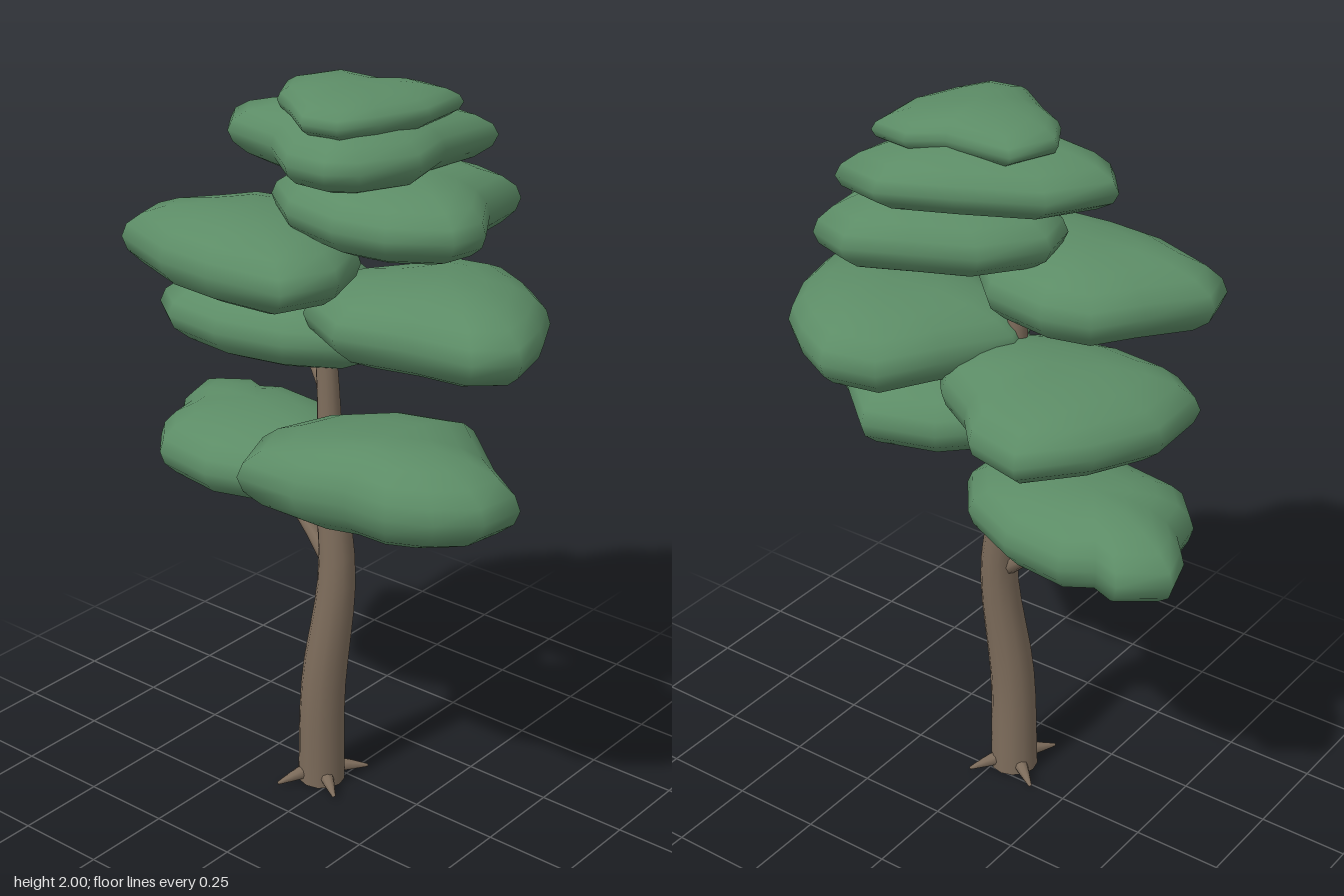
import * as THREE from 'three';

const bark = new THREE.MeshStandardMaterial({ name: 'bark brown', color: 0x7d6c5b });
const leaf = new THREE.MeshStandardMaterial({ name: 'pine green', color: 0x5c8c66 });

// Tapered limb along a smooth path; radii are spread evenly over its length
function limb(name, points, radii, segments = 8, sides = 10) {
  const curve = new THREE.CatmullRomCurve3(points.map(p => new THREE.Vector3(...p)));
  const geo = new THREE.TubeGeometry(curve, segments, 1, sides, false);
  const pos = geo.attributes.position, v = new THREE.Vector3();
  for (let i = 0; i <= segments; i++) {
    const u = i / segments, c = curve.getPointAt(u);
    const t = u * (radii.length - 1), k = Math.min(Math.floor(t), radii.length - 2);
    const r = THREE.MathUtils.lerp(radii[k], radii[k + 1], t - k);
    for (let j = 0; j <= sides; j++) {
      const n = i * (sides + 1) + j;
      v.fromBufferAttribute(pos, n).sub(c).multiplyScalar(r).add(c);
      pos.setXYZ(n, v.x, v.y, v.z);
    }
  }
  const mesh = new THREE.Mesh(geo, bark);
  mesh.name = name;
  return mesh;
}

// Rounded cushion over an irregular plan outline of [x, z] corners
function foliagePad(name, y0, y1, outline) {
  const n = outline.length, rings = 9;
  const cx = outline.reduce((s, p) => s + p[0], 0) / n;
  const cz = outline.reduce((s, p) => s + p[1], 0) / n;
  const angle = p => Math.atan2(p[1] - cz, p[0] - cx);
  const rim = [...outline].sort((a, b) => angle(a) - angle(b));
  const mid = (y0 + y1) / 2, half = (y1 - y0) / 2;
  const verts = [], index = [];
  for (let j = 1; j < rings + 1; j++) {
    const a = (j / (rings + 1) - 0.5) * Math.PI;
    const s = Math.pow(Math.cos(a), 0.85);
    for (const [x, z] of rim) verts.push(cx + (x - cx) * s, mid + half * Math.sin(a), cz + (z - cz) * s);
  }
  const bottom = rings * n, top = bottom + 1;
  verts.push(cx, y0, cz, cx, y1, cz);
  for (let i = 0; i < n; i++) {
    const k = (i + 1) % n;
    for (let j = 0; j < rings - 1; j++) {
      const a = j * n + i, b = j * n + k;
      index.push(a, a + n, b, b, a + n, b + n);
    }
    index.push(bottom, i, k, top, (rings - 1) * n + k, (rings - 1) * n + i);
  }
  const geo = new THREE.BufferGeometry();
  geo.setAttribute('position', new THREE.Float32BufferAttribute(verts, 3));
  geo.setIndex(index);
  geo.computeVertexNormals();
  const mesh = new THREE.Mesh(geo, leaf);
  mesh.name = name;
  return mesh;
}

export function createModel() {
  const tree = new THREE.Group();
  tree.name = 'tree';

  // Leaning, bent trunk with a closed base
  tree.add(limb('trunk', [
    [-0.045, 0, 0.055], [-0.033, 0.3, 0.06], [-0.003, 0.64, 0.037], [-0.032, 0.88, 0.022],
    [-0.06, 1.2, 0.005], [-0.085, 1.45, 0], [-0.03, 1.65, 0], [0, 1.85, 0],
  ], [0.066, 0.061, 0.048, 0.031, 0.025, 0.015], 24, 12));
  const base = new THREE.Mesh(new THREE.CircleGeometry(0.066, 12).rotateX(Math.PI / 2), bark);
  base.name = 'trunkBase';
  base.position.set(-0.045, 0.002, 0.055);
  tree.add(base);

  // Short pointed roots
  const roots = new THREE.Group();
  roots.name = 'roots';
  for (const deg of [35, 115, 215, 305]) {
    const a = deg * Math.PI / 180, c = Math.cos(a), s = Math.sin(a);
    const at = (r, y) => [-0.045 + c * r, y, 0.055 + s * r];
    roots.add(limb('root', [at(0.04, 0.03), at(0.09, 0.02), at(0.135, 0.01)], [0.022, 0.014, 0.004], 4, 8));
  }
  tree.add(roots);

  // Branches reaching into the foliage
  const branches = new THREE.Group();
  branches.name = 'branches';
  const paths = [
    [[-0.02, 0.66, 0.035], [-0.15, 0.77, 0.01], [-0.29, 0.85, 0]],
    [[-0.03, 0.9, 0.02], [0.08, 0.97, 0.1], [0.22, 1.03, 0.15]],
    [[-0.055, 1.14, 0.005], [-0.16, 1.19, -0.06], [-0.25, 1.25, -0.1]],
    [[-0.07, 1.3, 0], [0.05, 1.34, -0.05], [0.2, 1.38, -0.1]],
    [[-0.08, 1.43, 0], [-0.13, 1.48, 0.06], [-0.2, 1.53, 0.12]],
    [[-0.06, 1.56, 0], [0.02, 1.61, -0.03], [0.12, 1.67, -0.05]],
  ];
  for (const p of paths) branches.add(limb('branch', p, [0.024, 0.018, 0.012], 6, 8));
  tree.add(branches);

  // Flat foliage pads, lowest first
  const foliage = new THREE.Group();
  foliage.name = 'foliage';
  foliage.add(
    foliagePad('lowestRightPad', 0.815, 1.05, [[-0.655, -0.14], [-0.54, -0.22], [-0.46, -0.19], [-0.38, -0.24],
      [-0.2, -0.22], [-0.03, -0.14], [0.06, -0.02], [0.06, 0.09], [-0.08, 0.19], [-0.28, 0.25], [-0.47, 0.22],
      [-0.55, 0.13], [-0.57, 0.03], [-0.62, -0.03]]),
    foliagePad('lowestLeftPad', 0.94, 1.19, [[0.65, 0.13], [0.63, 0.25], [0.54, 0.33], [0.43, 0.38], [0.3, 0.38],
      [0.17, 0.42], [-0.01, 0.42], [-0.08, 0.26], [-0.02, 0.08], [0.13, -0.07], [0.33, -0.13], [0.52, 0.04]]),
    foliagePad('middleRightPad', 1.19, 1.42, [[-0.37, -0.42], [-0.21, -0.38], [-0.13, -0.29], [0, -0.21],
      [0.1, -0.09], [0.06, 0.05], [-0.1, 0.14], [-0.3, 0.18], [-0.48, 0.16], [-0.575, 0.09], [-0.585, -0.1], [-0.5, -0.27]]),
    foliagePad('middleLeftPad', 1.27, 1.51, [[0.08, -0.37], [0.23, -0.4], [0.36, -0.33], [0.46, -0.25],
      [0.53, -0.12], [0.57, 0.03], [0.48, 0.11], [0.3, 0.13], [0.1, 0.18], [-0.07, 0.09], [-0.12, -0.05], [-0.01, -0.21]]),
    foliagePad('upperRightPad', 1.43, 1.66, [[-0.53, 0.27], [-0.56, 0.16], [-0.45, 0.02], [-0.37, -0.1],
      [-0.24, -0.13], [-0.06, -0.1], [0.08, 0.04], [0.14, 0.2], [0.08, 0.35], [-0.15, 0.365], [-0.32, 0.35]]),
    foliagePad('upperLeftPad', 1.58, 1.79, [[0.21, -0.33], [0.33, -0.29], [0.35, -0.13], [0.44, 0.01],
      [0.42, 0.11], [0.28, 0.2], [0.13, 0.22], [-0.05, 0.18], [-0.18, 0.08], [-0.21, -0.04], [-0.1, -0.19], [0.06, -0.26]]),
    foliagePad('crownPad', 1.75, 1.935, [[-0.35, 0.04], [-0.25, -0.12], [-0.05, -0.22], [0.13, -0.3],
      [0.27, -0.27], [0.25, -0.08], [0.29, 0.07], [0.22, 0.22], [0.15, 0.27], [0.03, 0.27], [-0.1, 0.17], [-0.28, 0.13]]),
    foliagePad('crownCap', 1.88, 2, [[-0.2, 0], [-0.15, -0.13], [0.04, -0.13], [0.12, -0.19], [0.23, -0.175],
      [0.245, -0.02], [0.2, 0.12], [0.15, 0.22], [0.05, 0.235], [-0.06, 0.15], [-0.14, 0.1]]),
  );
  tree.add(foliage);
  return tree;
}
